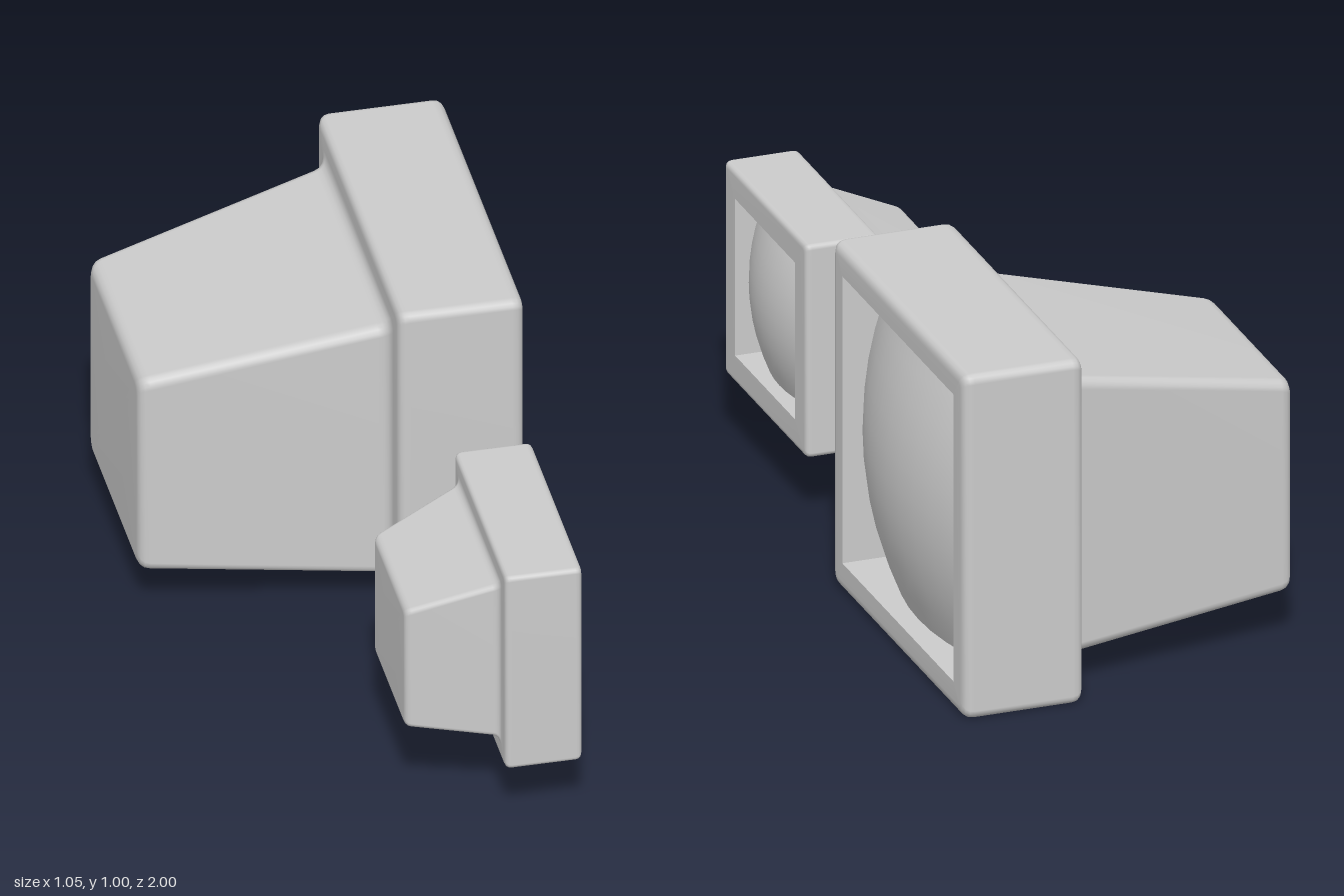
import * as THREE from 'three';

const material = () => new THREE.MeshStandardMaterial({ color: 0xcccccc });

// Rounded rectangle in the plane at x; a row is [x, y0, y1, z0, z1, cornerRadius]
function loop([x, y0, y1, z0, z1, r], steps = 4) {
  const corners = [
    [z0 + r, y1 - r, 0], [z1 - r, y1 - r, 1],
    [z1 - r, y0 + r, 2], [z0 + r, y0 + r, 3],
  ];
  const points = [];
  for (const [cz, cy, q] of corners) {
    for (let s = 0; s <= steps; s++) {
      const a = (q + s / steps) * Math.PI / 2;
      points.push([x, cy + r * Math.sin(a), cz - r * Math.cos(a)]);
    }
  }
  return points;
}

// Rounds each inner row of a lofted profile by the given distance
function roundRows(rows, distance) {
  const towards = (a, b) => {
    const span = Math.max(...a.map((v, i) => Math.abs(b[i] - v)));
    const t = Math.min(0.5, distance / span);
    return a.map((v, i) => v + (b[i] - v) * t);
  };
  const result = [rows[0]];
  for (let k = 1; k < rows.length - 1; k++) {
    const p = towards(rows[k], rows[k - 1]);
    const q = towards(rows[k], rows[k + 1]);
    for (let s = 0; s <= 4; s++) {
      const t = s / 4;
      result.push(rows[k].map((v, i) =>
        (1 - t) * (1 - t) * p[i] + 2 * t * (1 - t) * v + t * t * q[i]));
    }
  }
  result.push(rows[rows.length - 1]);
  return result;
}

// Skin over a series of rows
function loft(rows, steps) {
  const loops = rows.map((row) => loop(row, steps));
  const n = loops[0].length;
  const index = [];
  for (let i = 0; i < loops.length - 1; i++) {
    for (let j = 0; j < n; j++) {
      const a = i * n + j;
      const b = i * n + (j + 1) % n;
      index.push(a, b, b + n, a, b + n, a + n);
    }
  }
  const geometry = new THREE.BufferGeometry();
  geometry.setAttribute('position', new THREE.Float32BufferAttribute(loops.flat(2), 3));
  geometry.setIndex(index);
  geometry.computeVertexNormals();
  return geometry;
}

function add(group, geometry, name, mat = material()) {
  const mesh = new THREE.Mesh(geometry, mat);
  mesh.name = name;
  group.add(mesh);
  return mesh;
}

function createMonitor({ name, back, neck, frameBack, frameFront, opening, bevel, bulge, recess }) {
  const group = new THREE.Group();
  group.name = name;
  const [x, y0, y1, z0, z1] = opening;
  const cy = (y0 + y1) / 2;
  const cz = (z0 + z1) / 2;

  // Tapered tube housing flowing into the square front frame
  const centre = [back[0], (back[1] + back[2]) / 2, (back[1] + back[2]) / 2,
    (back[3] + back[4]) / 2, (back[3] + back[4]) / 2, 0];
  const rows = [centre, back, neck, frameBack, frameFront, opening];
  add(group, loft(roundRows(rows, bevel)), 'housing');

  // Straight walls around the sunken screen
  const deep = [x - recess, y0, y1, z0, z1, 0];
  const walls = loft([opening, deep], 1).toNonIndexed();
  walls.computeVertexNormals();
  add(group, walls, 'screenRecess');

  // Bulging glass
  const screen = new THREE.PlaneGeometry(z1 - z0, y1 - y0, 10, 10).rotateY(Math.PI / 2);
  const p = screen.attributes.position;
  const k = 0.443 / (y1 - y0);
  for (let i = 0; i < p.count; i++) {
    p.setX(i, -k * (p.getY(i) ** 2 + p.getZ(i) ** 2));
  }
  screen.computeVertexNormals();
  add(group, screen, 'screen').position.set(x + bulge, cy, cz);
  return group;
}

export function createModel() {
  const model = new THREE.Group();
  model.name = 'monitors';
  model.add(createMonitor({
    name: 'largeMonitor',
    back: [-0.523, 0.15, 0.76, -0.805, -0.195, 0.03],
    neck: [0.146, 0.102, 0.91, -0.9, -0.1, 0.03],
    frameBack: [0.146, 0.004, 1.006, -1, 0, 0.025],
    frameFront: [0.49, 0.004, 1.006, -1, 0, 0.025],
    opening: [0.49, 0.088, 0.925, -0.917, -0.075, 0],
    bevel: 0.032, bulge: 0.034, recess: 0.17,
  }));
  model.add(createMonitor({
    name: 'smallMonitor',
    back: [-0.035, 0.286, 0.66, 0.495, 0.873, 0.015],
    neck: [0.212, 0.259, 0.753, 0.435, 0.935, 0.015],
    frameBack: [0.212, 0.196, 0.816, 0.378, 1, 0.014],
    frameFront: [0.423, 0.196, 0.816, 0.378, 1, 0.014],
    opening: [0.423, 0.278, 0.735, 0.463, 0.916, 0],
    bevel: 0.018, bulge: 0.01, recess: 0.11,
  }));
  return model;
}
